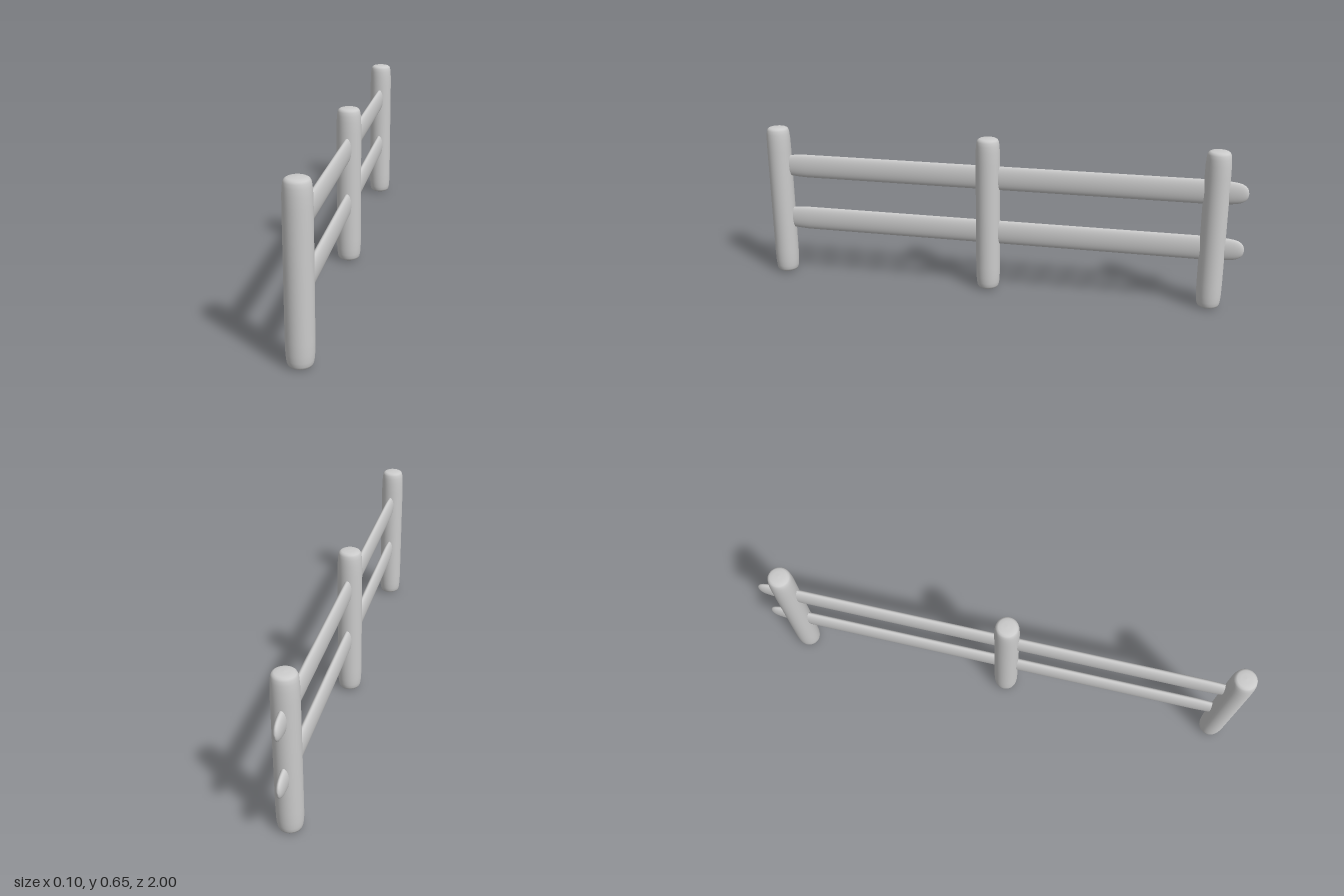
import * as THREE from 'three';

const material = new THREE.MeshStandardMaterial({ color: 0xcccccc });

// Round log standing on y = 0, with softly rounded ends
function logGeometry(length, radius, endProfile) {
  const bottom = endProfile.map(([r, h]) => new THREE.Vector2(r * radius, h));
  const top = endProfile.map(([r, h]) => new THREE.Vector2(r * radius, length - h)).reverse();
  return new THREE.LatheGeometry([...bottom, ...top], 32);
}

export function createModel() {
  const fence = new THREE.Group();
  fence.name = 'fence';

  // Upright posts
  const postEnd = [[0, 0], [0.4, 0.001], [0.68, 0.003], [0.82, 0.007], [0.9, 0.015],
    [0.95, 0.03], [0.985, 0.055], [1, 0.1]];
  const postGeometry = logGeometry(0.65, 0.05, postEnd);
  [['frontPost', 0.95], ['middlePost', 0.035], ['backPost', -0.877]].forEach(([name, z]) => {
    const post = new THREE.Mesh(postGeometry, material);
    post.name = name;
    post.position.z = z;
    fence.add(post);
  });

  // Flattened rails running through the posts, poking out at the back
  const railEnd = [[0, 0], [0.25, 0.002], [0.45, 0.006], [0.62, 0.014], [0.75, 0.025],
    [0.84, 0.04], [0.9, 0.06], [0.96, 0.09], [1, 0.13]];
  const railGeometry = logGeometry(1.96, 0.05, railEnd);
  railGeometry.scale(0.36, 1, 1);
  railGeometry.rotateX(-Math.PI / 2);
  [['upperRail', 0.483], ['lowerRail', 0.25]].forEach(([name, y]) => {
    const rail = new THREE.Mesh(railGeometry, material);
    rail.name = name;
    rail.position.set(0, y, 0.96);
    fence.add(rail);
  });

  return fence;
}
